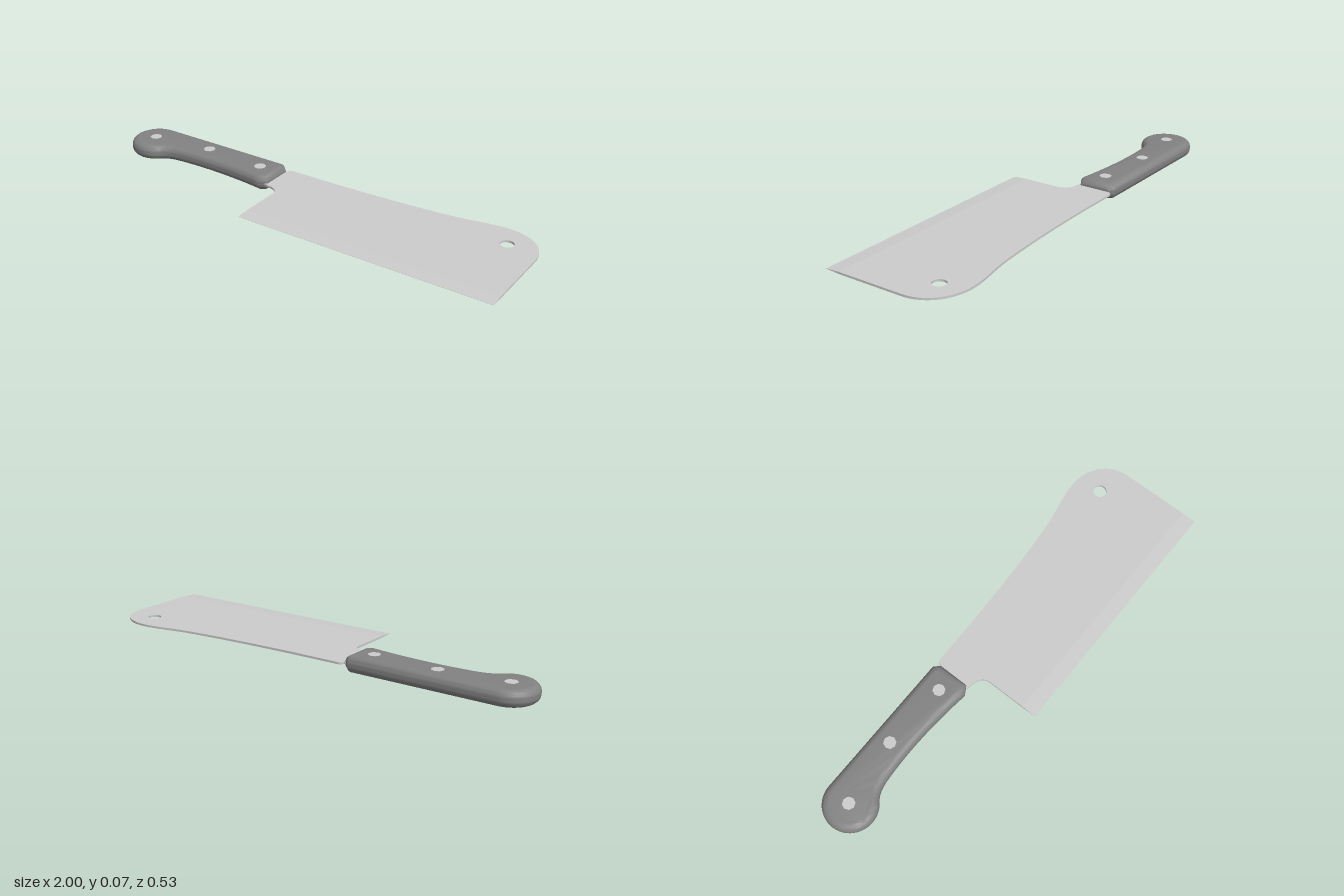
import * as THREE from 'three';
import { toCreasedNormals } from 'three/addons/utils/BufferGeometryUtils.js';

const MID = 0.035;    // height of the middle plane
const BLADE = 0.009;  // blade thickness

// Outlines are drawn in (x, z), extruded and laid flat about the middle plane
function layFlat(shape, options, crease) {
  const geo = new THREE.ExtrudeGeometry(shape, options);
  geo.translate(0, 0, -options.depth / 2);
  geo.rotateX(Math.PI / 2);
  geo.translate(0, MID, 0);
  return toCreasedNormals(geo, crease);
}

export function createModel() {
  const group = new THREE.Group();
  const steel = new THREE.MeshStandardMaterial({ color: 0xcccccc });
  const grip = new THREE.MeshStandardMaterial({ color: 0x828282 });
  const add = (name, geo, mat) => {
    const mesh = new THREE.Mesh(geo, mat);
    mesh.name = name;
    group.add(mesh);
    return mesh;
  };

  // Blade body with a short tang inside the handle, a notch and a hanging hole
  const body = new THREE.Shape();
  body.moveTo(-0.26, -0.18);
  body.lineTo(-0.21, -0.18);
  body.quadraticCurveTo(-0.21, -0.199, -0.19, -0.199);
  body.lineTo(0, -0.2);
  body.bezierCurveTo(0.2, -0.204, 0.4, -0.212, 0.59, -0.233);
  body.bezierCurveTo(0.68, -0.245, 0.74, -0.267, 0.815, -0.267);
  body.bezierCurveTo(0.92, -0.267, 1, -0.2, 1, -0.1);
  body.lineTo(1, 0.2);
  body.lineTo(-0.14, 0.2);
  body.lineTo(-0.14, 0.03);
  body.bezierCurveTo(-0.14, -0.005, -0.165, -0.022, -0.2, -0.024);
  body.lineTo(-0.26, -0.04);
  body.closePath();
  const hole = new THREE.Path();
  hole.absarc(0.86, -0.152, 0.029, 0, Math.PI * 2, true);
  body.holes.push(hole);
  add('blade', layFlat(body, { depth: BLADE, bevelEnabled: false, curveSegments: 16 }, 0.6), steel);

  // Ground cutting edge: a bar squeezed thin along its front side
  const edge = new THREE.BoxGeometry(1.14, BLADE, 0.063);
  const pos = edge.attributes.position;
  for (let i = 0; i < pos.count; i++) {
    if (pos.getZ(i) > 0) pos.setY(i, pos.getY(i) * 0.08);
  }
  edge.computeVertexNormals();
  edge.translate(0.43, MID, 0.2315);
  add('cuttingEdge', edge, steel);

  // Handle with a round pommel; the bevel grows the outline by 0.03
  const outline = new THREE.Shape();
  outline.moveTo(-0.25, -0.17);
  outline.lineTo(-0.885, -0.17);
  outline.absarc(-0.885, -0.085, 0.085, -Math.PI / 2, Math.PI / 4, true);
  outline.quadraticCurveTo(-0.788, -0.062, -0.7, -0.066);
  outline.bezierCurveTo(-0.56, -0.077, -0.4, -0.069, -0.255, -0.049);
  outline.lineTo(-0.243, -0.056);
  outline.lineTo(-0.243, -0.163);
  outline.closePath();
  add('handle', layFlat(outline, {
    depth: 0.009, bevelEnabled: true, bevelSize: 0.03, bevelThickness: 0.03,
    bevelSegments: 8, curveSegments: 20,
  }, 0.7), grip);

  // Rivets running through the handle
  for (const [x, z] of [[-0.89, -0.085], [-0.6, -0.12], [-0.305, -0.108]]) {
    const rivet = add('rivet', new THREE.CylinderGeometry(0.027, 0.027, 0.07, 8), steel);
    rivet.position.set(x, MID, z);
  }
  return group;
}
